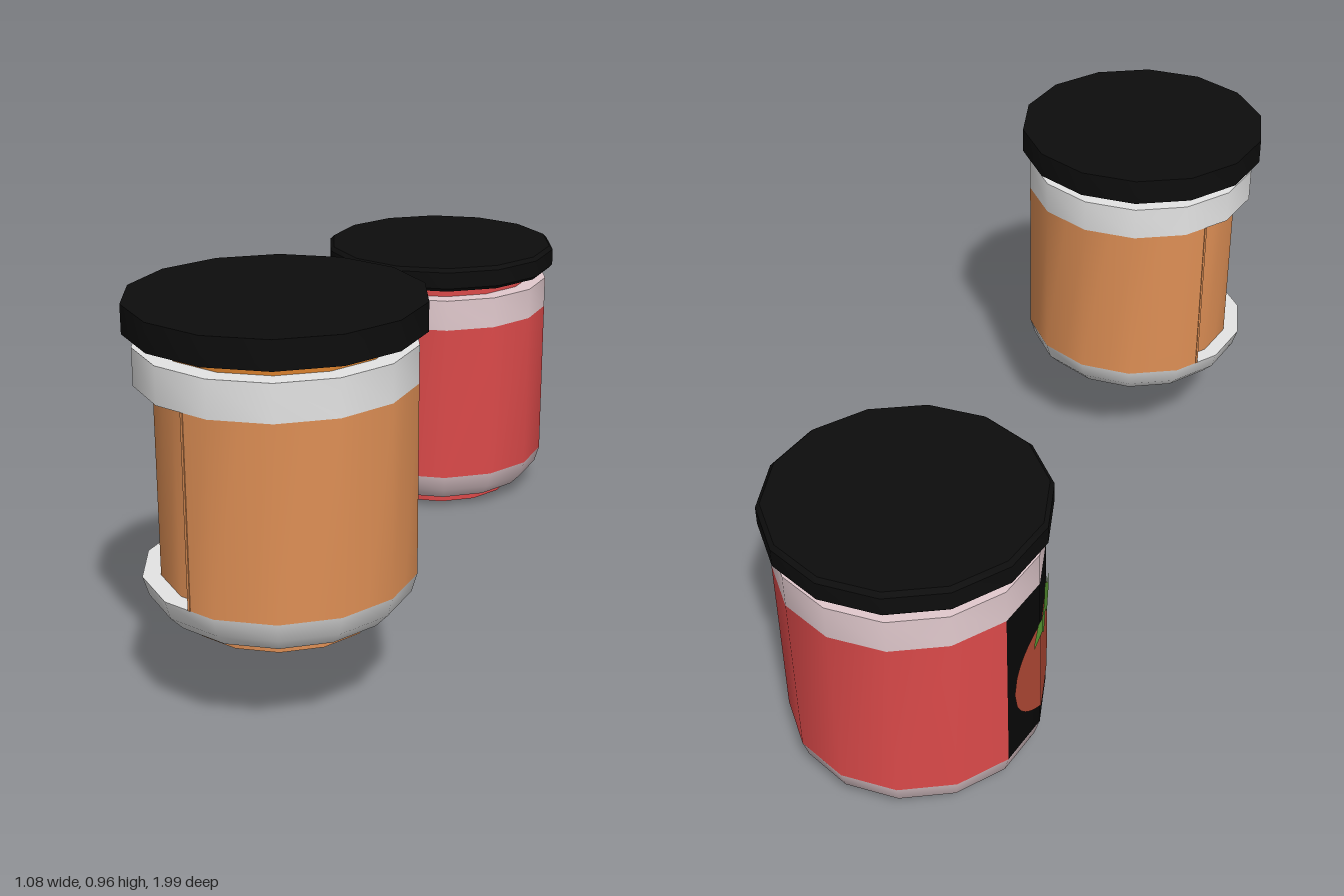
import * as THREE from 'three';
import { toCreasedNormals } from 'three/addons/utils/BufferGeometryUtils.js';

const SIDES = 14;
const STEP = (Math.PI * 2) / SIDES;
const R = 0.308;      // glass radius
const INNER = 0.267;  // neck and label recess radius

const paint = (name, color) => {
  const m = new THREE.MeshStandardMaterial({ color });
  m.name = name;
  return m;
};

function add(group, name, geometry, material) {
  const mesh = new THREE.Mesh(geometry, material);
  mesh.name = name;
  group.add(mesh);
  return mesh;
}

// Fourteen-sided turned part, smooth around and sharp along its rims
function turned(points) {
  const geo = new THREE.LatheGeometry(points.map(([r, y]) => new THREE.Vector2(r, y)), SIDES);
  return toCreasedNormals(geo, 0.6);
}

// Point on the fourteen-sided wall; s counts sides from the back towards the right
function wallPoint(s, r) {
  const i = Math.floor(s + 1e-6), t = s - i;
  const mix = (f) => -r * (f(i * STEP) * (1 - t) + f((i + 1) * STEP) * t);
  return [mix(Math.sin), mix(Math.cos)];
}

// Sheet wrapped on the wall from side s0 to s1, with its edges given by functions of s
function wrapped(s0, s1, columns, r, bottom, top) {
  const geo = new THREE.PlaneGeometry(1, 1, columns, 1);
  const p = geo.attributes.position;
  for (let i = 0; i < p.count; i++) {
    const s = s0 + (s1 - s0) * (p.getX(i) + 0.5);
    const [x, z] = wallPoint(s, r);
    p.setXYZ(i, x, p.getY(i) > 0 ? top(s) : bottom(s), z);
  }
  geo.computeVertexNormals();
  return geo;
}

// Straight lines through [s, y] points
function polyline(points) {
  return (s) => {
    let k = 1;
    while (k < points.length - 1 && s > points[k][0]) k++;
    const [a, ya] = points[k - 1], [b, yb] = points[k];
    return ya + (yb - ya) * THREE.MathUtils.clamp((s - a) / (b - a), 0, 1);
  };
}

// Parts shared by both jars
function makeJar(name, glass, neck, band, lid, bevel) {
  const jar = new THREE.Group();
  jar.name = name;

  // Foot ring with a shallow hollow underneath
  add(jar, 'foot', turned([[0, 0.03], [0.195, 0.03], [0.205, 0], [0.218, 0], [0.218, 0.03]]), glass);
  add(jar, 'lowerBand', turned([
    [0.2, 0.025], [0.225, 0.025], [0.264, 0.033], [0.295, 0.066], [R, 0.11], [0.24, 0.11],
  ]), band);
  add(jar, 'upperBand', turned([[0.24, 0.55], [R, 0.55], [R, 0.635], [0.24, 0.635]]), band);
  add(jar, 'neck', turned([[0.262, 0.63], [0.262, 0.67]]), neck);
  add(jar, 'lid', turned([
    [0, 0.665], [0.327 - bevel, 0.665], [0.327, 0.665 + bevel],
    [0.327, 0.73 - bevel], [0.327 - bevel, 0.73], [0, 0.73],
  ].filter((p, i) => bevel > 0 || (i !== 2 && i !== 4))), lid);
  return jar;
}

export function createModel() {
  const orange = paint('orange glass', 0xde8f55);
  const amber = paint('amber neck', 0xd9802c);
  const red = paint('red glass', 0xdc4a4a);
  const white = paint('white band', 0xe4e4e4);
  const pink = paint('pink band', 0xe2cace);
  const black = paint('black lid', 0x0d0d0d);
  const labelBlack = paint('label black', 0x080808);
  const tomatoRed = paint('tomato red', 0xb44a36);
  const leafGreen = paint('leaf green', 0x5a9a32);

  const model = new THREE.Group();
  model.name = 'jars';
  const low = () => 0.11, high = () => 0.55;

  // Orange jar, with an empty label recess on its right side
  const orangeJar = makeJar('orangeJar', orange, amber, white, black, 0);
  orangeJar.position.set(-0.22, 0.225, 0.67);
  add(orangeJar, 'body', wrapped(5.5, 15.5, 20, R, low, high), orange);
  add(orangeJar, 'recessWall', wrapped(1, 6, 10, INNER, low, high), orange);
  for (const [s, side] of [[1.5, -1], [5.5, 1]]) {
    const [x, z] = wallPoint(s, 0.286);
    const end = add(orangeJar, 'recessEnd', new THREE.BoxGeometry(0.006, 0.44, 0.042), orange);
    end.position.set(x, 0.33, z + side * 0.003);
    end.rotation.y = Math.atan2(x, z);
  }
  model.add(orangeJar);

  // Red jar, with a picture label on its right side
  const redJar = makeJar('redJar', red, red, pink, black, 0.01);
  redJar.position.set(0.22, 0, -0.67);
  add(redJar, 'body', wrapped(5, 16, 11, R, low, high), red);
  add(redJar, 'label', wrapped(2, 5, 3, R, low, high), labelBlack);

  // Tomato: round below, with a gentle dip at the stalk
  const half = 1.3125;
  const arc = (s) => Math.sqrt(Math.max(0, 1 - ((s - 3.5) / half) ** 2));
  add(redJar, 'tomato', wrapped(3.5 - half, 3.5 + half, 42, R + 0.003,
    (s) => 0.3 - 0.145 * arc(s), (s) => 0.3 + 0.145 * arc(s)), tomatoRed);

  // Jagged leaves and stalk
  const leafTop = polyline([[2.75, 0.39], [2.875, 0.44], [3.125, 0.455], [3.25, 0.45],
    [3.375, 0.495], [3.625, 0.495], [3.75, 0.45], [4, 0.46], [4.25, 0.4]]);
  const leafBottom = polyline([[2.75, 0.375], [3, 0.405], [3.25, 0.37], [3.5, 0.41],
    [3.75, 0.365], [4, 0.405], [4.25, 0.38]]);
  add(redJar, 'leaves', wrapped(2.75, 4.25, 24, R + 0.006, leafBottom, leafTop), leafGreen);
  model.add(redJar);

  return model;
}
